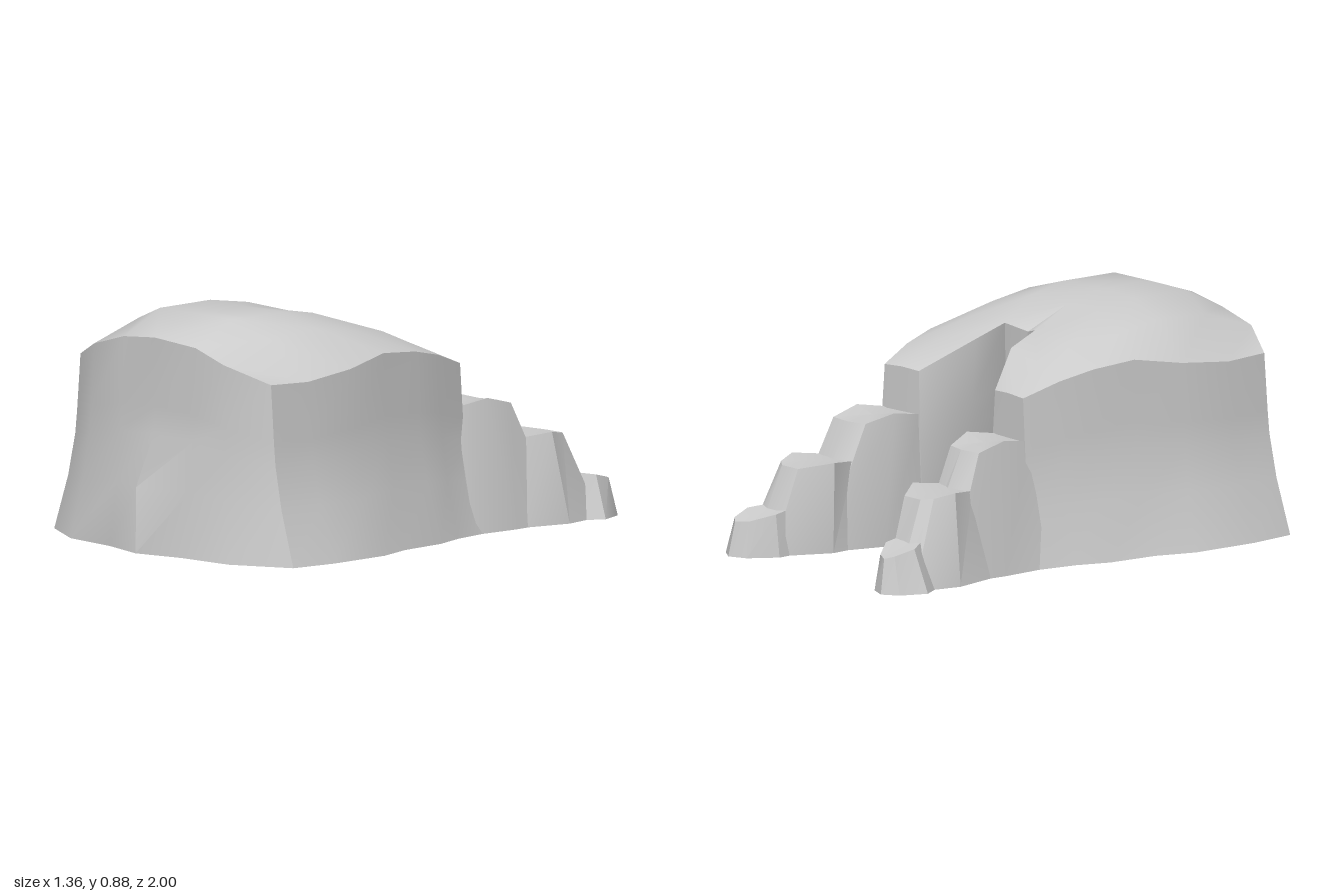
import * as THREE from 'three';
import { toCreasedNormals } from 'three/addons/utils/BufferGeometryUtils.js';

const material = new THREE.MeshStandardMaterial({ color: 0xcccccc });

// Mesh from a list of triangle corners, smooth except at sharp edges
function soup(name, corners, crease = 0.62) {
  const g = new THREE.BufferGeometry();
  g.setAttribute('position', new THREE.Float32BufferAttribute(corners.flat(), 3));
  const mesh = new THREE.Mesh(toCreasedNormals(g, crease), material);
  mesh.name = name;
  return mesh;
}

// Side faces between closed rings, listed from the top down
function sides(rings) {
  const out = [];
  for (let k = 0; k + 1 < rings.length; k++) {
    const a = rings[k], b = rings[k + 1], n = a.length;
    for (let i = 0; i < n; i++) {
      const j = (i + 1) % n;
      out.push(b[i], b[j], a[j], b[i], a[j], a[i]);
    }
  }
  return out;
}

// Flat underside filling a ring on the ground
function underside(name, ring) {
  const g = new THREE.ShapeGeometry(new THREE.Shape(ring.map(p => new THREE.Vector2(p[0], p[2]))));
  g.rotateX(Math.PI / 2);
  const mesh = new THREE.Mesh(g, material);
  mesh.name = name;
  return mesh;
}

const mirrored = p => [-p[0], p[1], p[2]];

// Top surface of one half, rows from front to back, [x, y, z]; null is the notch
const top = [
  [[0, .80, .905], [.2, .78, .88], [.36, .735, .885], [.53, .67, .80]],
  [[0, .87, .70], [.2, .868, .70], [.36, .81, .66], [.535, .665, .62]],
  [[0, .875, .47], [.2, .873, .45], [.36, .825, .42], [.525, .69, .40]],
  [[0, .84, .29], [.18, .85, .28], [.36, .80, .24], [.485, .725, .20]],
  [[0, .765, .10], [.085, .79, .06], [.30, .77, .04], [.46, .71, .02]],
  [null, [.10, .745, -.07], [.28, .715, -.10], [.43, .68, -.12]],
  [null, [.215, .63, -.25], [.30, .635, -.26], [.39, .63, -.265]],
];

// Ground outline [x, z] matching the rim: front, side, back, undercut notch
const base = [[0, 1], [.2, .95], [.44, .93], [.665, .81], [.68, .62], [.66, .35], [.605, .2],
  [.58, 0], [.53, -.13], [.5, -.28], [.33, -.27], [.18, -.26], [.19, -.04], [.205, .18], [0, .18]];

// Heights of the wall rings as [fraction of rim, side flare, flare at front centre]
const levels = [[1, 0, 0], [.68, .13, 0], [.55, .2, .05], [.31, .47, .97], [0, 1, 1]];

function rockBody() {
  const group = new THREE.Group();
  group.name = 'rockBody';

  // Domed top
  const cap = [];
  for (let r = 0; r + 1 < top.length; r++) for (let c = 0; c < 3; c++) {
    const q = [top[r][c], top[r][c + 1], top[r + 1][c + 1], top[r + 1][c]];
    if (q.includes(null)) continue;
    const tris = [q[0], q[1], q[2], q[0], q[2], q[3]];
    cap.push(...tris, ...tris.map(mirrored).reverse());
  }
  group.add(soup('domedTop', cap, 0.8));

  // Walls flaring towards the ground; the notch walls slope straight
  const rim = [...top[0], ...top.slice(1).map(row => row[3]),
    top[6][2], top[6][1], top[5][1], top[4][1], top[4][0]];
  const rings = levels.map(([t, flare, centre]) => {
    const half = rim.map(([x, y, z], i) => {
      const f = i === 0 ? centre : i > 10 ? 1 - t : flare;
      return [x + (base[i][0] - x) * f, y * t, z + (base[i][1] - z) * f];
    });
    return [...half, ...half.slice(1, -1).reverse().map(mirrored)];
  });
  group.add(soup('walls', sides(rings)), underside('underside', rings[rings.length - 1]));
  return group;
}

// Stepped rocks of one arm: top [x, y, z] and ground outline [x, z]
const steps = [
  {
    top: [[.215, .465, -.24], [.39, .465, -.24], [.415, .49, -.38], [.41, .46, -.5],
      [.32, .46, -.51], [.24, .46, -.49], [.205, .49, -.38]],
    base: [[.18, -.24], [.5, -.24], [.5, -.45], [.47, -.7], [.33, -.74], [.25, -.7], [.17, -.45]],
  },
  {
    top: [[.25, .325, -.54], [.42, .325, -.54], [.46, .34, -.66], [.43, .325, -.74],
      [.39, .32, -.77], [.30, .32, -.77], [.22, .34, -.66]],
    base: [[.22, -.5], [.49, -.5], [.525, -.69], [.48, -.88], [.41, -.9], [.32, -.88], [.215, -.67]],
  },
  {
    top: [[.31, .175, -.78], [.42, .175, -.78], [.47, .16, -.87], [.45, .14, -.95],
      [.42, .13, -.975], [.37, .135, -.95], [.31, .16, -.87]],
    base: [[.29, -.76], [.48, -.76], [.535, -.86], [.49, -.96], [.43, -1], [.36, -.97], [.29, -.87]],
  },
];

function steppedArm(name, side) {
  const group = new THREE.Group();
  group.name = name;
  steps.forEach((step, n) => {
    let rings = [step.top, step.base.map(([x, z]) => [x, 0, z])];
    if (side < 0) rings = rings.map(ring => ring.map(mirrored).reverse());
    const faces = sides(rings), rim = rings[0];
    const mid = [0, 1, 2].map(a => rim.reduce((sum, p) => sum + p[a], 0) / rim.length);
    rim.forEach((p, i) => faces.push(mid, p, rim[(i + 1) % rim.length]));
    group.add(soup('step' + (n + 1), faces, 0.5), underside('stepUnderside' + (n + 1), rings[1]));
  });
  return group;
}

export function createModel() {
  const model = new THREE.Group();
  model.name = 'rockFormation';
  model.add(rockBody(), steppedArm('leftArm', 1), steppedArm('rightArm', -1));
  return model;
}
